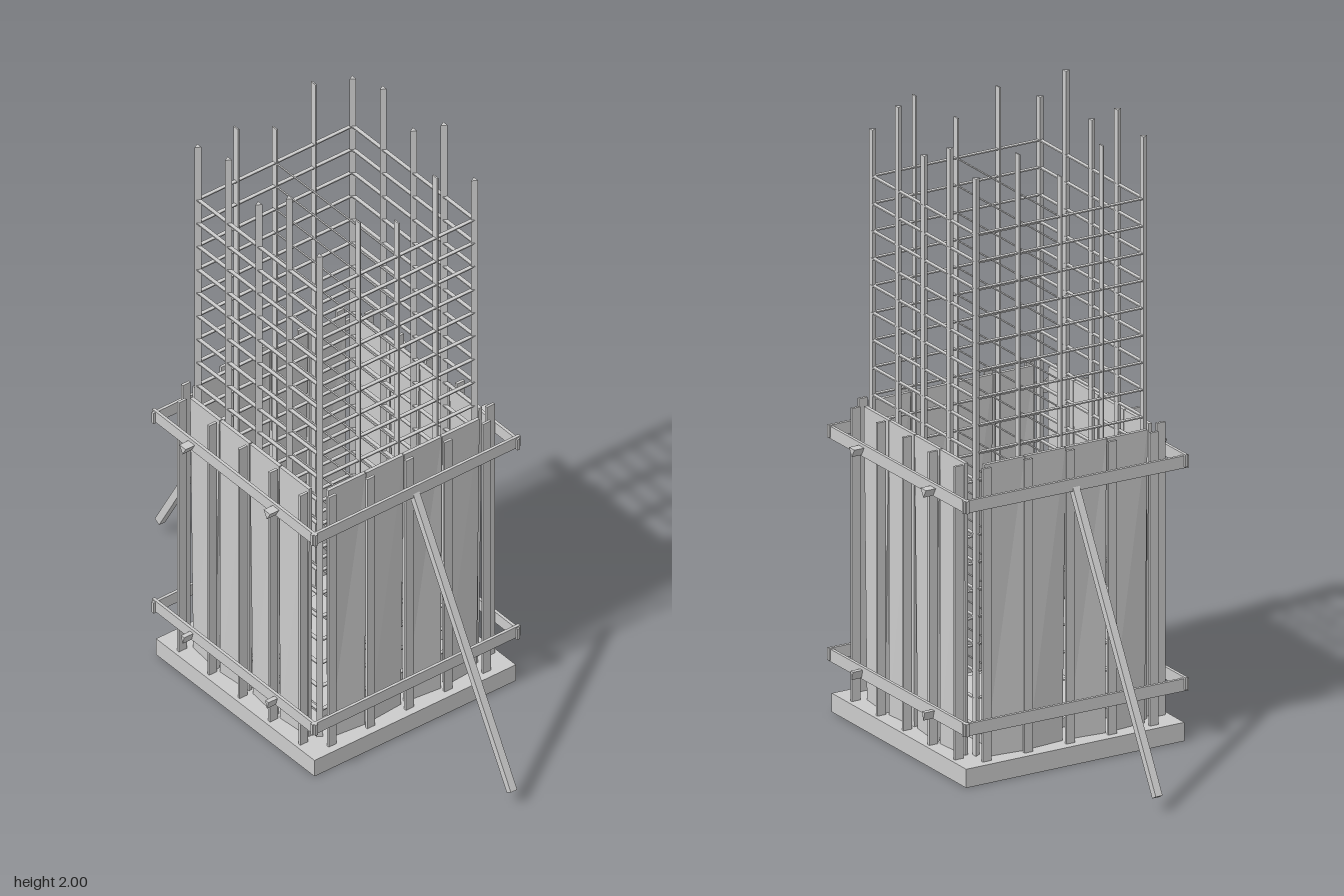
import * as THREE from 'three';

const mat = new THREE.MeshStandardMaterial({ color: 0xcccccc, flatShading: true, side: THREE.DoubleSide });

export function createModel() {
  const root = new THREE.Group();

  const group = (name) => {
    const g = new THREE.Group();
    g.name = name;
    root.add(g);
    return g;
  };
  const add = (parent, name, geo, x, y, z) => {
    const m = new THREE.Mesh(geo, mat);
    m.name = name;
    m.position.set(x, y, z);
    parent.add(m);
    return m;
  };
  const box = (parent, name, w, h, d, x, y, z) =>
    add(parent, name, new THREE.BoxGeometry(w, h, d), x, y, z);

  // Footing slab and the low kicker inside the formwork
  box(root, 'footingSlab', 0.77, 0.06, 0.77, 0, 0.03, 0);
  box(root, 'kicker', 0.46, 0.03, 0.46, 0, 0.075, 0);

  // Formwork boards: four per side, narrowing and twisting towards the foot
  const boards = group('formworkBoards');
  const boardGeo = (twist) => {
    const g = new THREE.BoxGeometry(0.142, 0.94, 0.012);
    const p = g.attributes.position;
    for (let i = 0; i < p.count; i++) {
      if (p.getY(i) > 0) continue;
      const x = p.getX(i) * 0.9, z = p.getZ(i);
      p.setX(i, x * Math.cos(twist) - z * Math.sin(twist));
      p.setZ(i, x * Math.sin(twist) + z * Math.cos(twist));
    }
    g.computeVertexNormals();
    return g;
  };
  for (let side = 0; side < 4; side++) {
    const wall = new THREE.Group();
    wall.name = 'wall';
    wall.rotation.y = side * Math.PI / 2;
    boards.add(wall);
    for (let i = 0; i < 4; i++)
      add(wall, 'board', boardGeo(i % 2 ? -0.08 : 0.1), -0.2175 + i * 0.145, 0.53, 0.325);
  }

  // Upright studs outside the boards
  const studs = group('studs');
  for (const s of [-1, 1])
    for (const t of [-0.295, -0.148, 0, 0.148, 0.295]) {
      box(studs, 'stud', 0.009, 0.94, 0.03, t, 0.53, s * 0.357);
      box(studs, 'stud', 0.009, 0.94, 0.03, s * 0.355, 0.53, t);
    }

  // Walers: two horizontal bands around the studs, with tie ends front and back
  const walers = group('walers');
  const peg = new THREE.CylinderGeometry(0.018, 0.018, 0.045, 3);
  peg.rotateX(Math.PI / 2);
  for (const y of [0.185, 0.9])
    for (const s of [-1, 1]) {
      box(walers, 'waler', 0.795, 0.04, 0.01, 0, y, s * 0.386).rotation.z = -0.006;
      box(walers, 'waler', 0.01, 0.04, 0.795, s * 0.386, y, 0).rotation.x = 0.006;
      for (const x of [-0.205, 0.205]) {
        const m = add(walers, 'tieEnd', peg, x, y, s * 0.403);
        if (y < 0.5) m.scale.x = 0.5;
      }
    }

  // Raking braces on both sides
  const braces = group('braces');
  for (const s of [-1, 1]) {
    const dx = 0.485, dy = 0.86;
    const m = box(braces, 'brace', 0.024, Math.hypot(dx, dy), 0.024, s * 0.613, 0.475, 0);
    m.rotation.z = s * Math.atan2(dx, dy);
  }

  // Vertical reinforcing bars: three-sided at front and back, flat at the sides
  const bars = group('verticalBars');
  const foot = 0.06;
  const upright = (x, z, top) => {
    const h = top - foot;
    add(bars, 'bar', new THREE.CylinderGeometry(0.012, 0.012, h, 3), x, foot + h / 2, z);
  };
  const frontTops = [1.93, 1.97, 1.89, 2.0, 1.87];
  const backTops = [1.91, 1.96, 1.89, 2.0, 1.88];
  for (let i = 0; i < 5; i++) {
    const x = -0.296 + i * 0.148;
    upright(x, 0.296, frontTops[i]);
    upright(x, -0.296, backTops[i]);
  }
  [1.96, 1.86, 1.93].forEach((top, i) => {
    for (const s of [-1, 1])
      box(bars, 'bar', 0.022, top - foot, 0.005, s * 0.296, (top + foot) / 2, (i - 1) * 0.148);
  });

  // Horizontal ties: flat square hoops with a cross tie at each level
  const ties = group('ties');
  for (let y = 1.73; y > 0.1; y -= 0.0875) {
    for (const s of [-1, 1]) {
      box(ties, 'tie', 0.592, 0.004, 0.013, 0, y, s * 0.296);
      box(ties, 'tie', 0.013, 0.004, 0.592, s * 0.296, y, 0);
    }
    box(ties, 'crossTie', 0.592, 0.003, 0.005, 0, y, 0);
  }

  return root;
}
